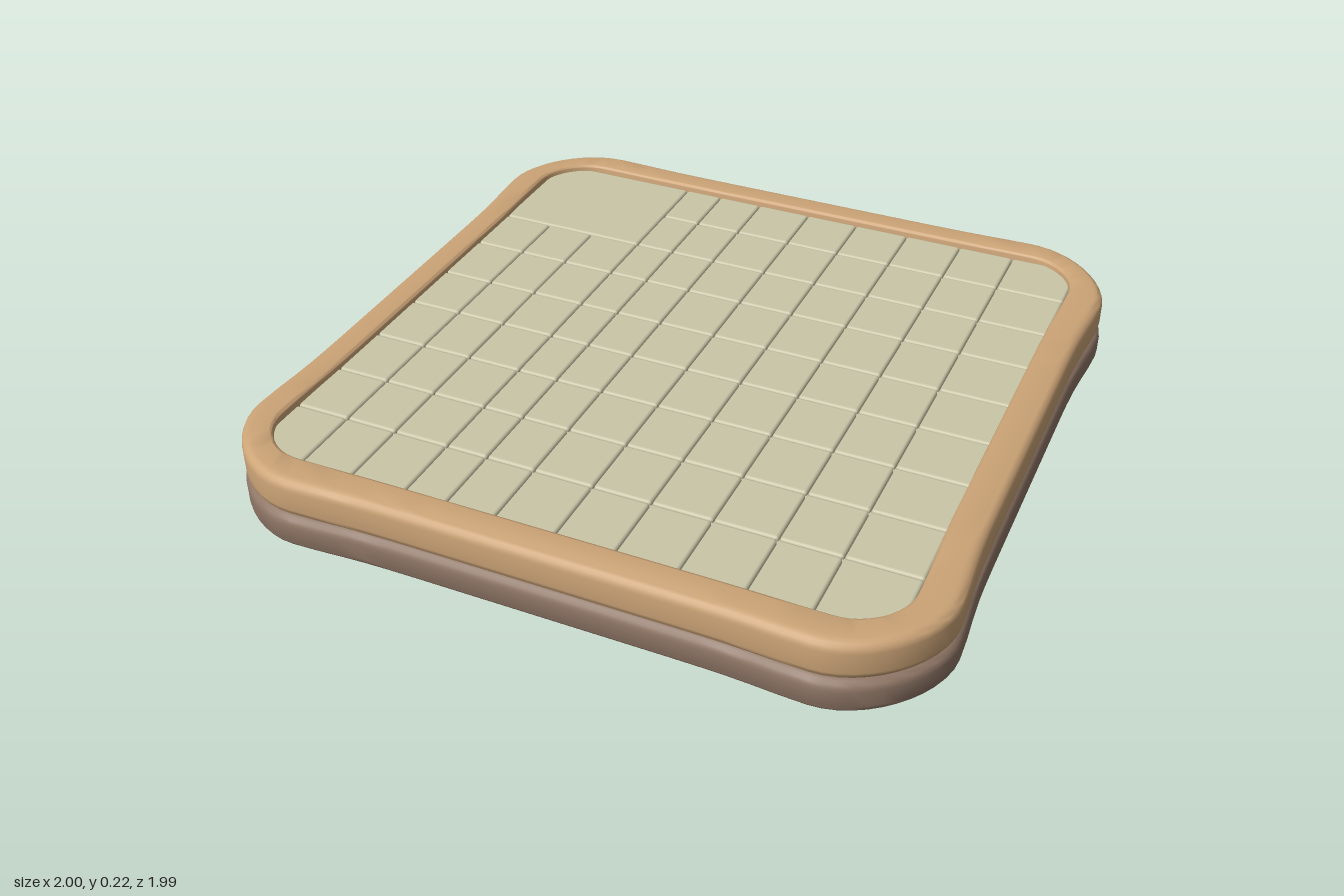
import * as THREE from 'three';
import { toCreasedNormals } from 'three/addons/utils/BufferGeometryUtils.js';
import { RoundedBoxGeometry } from 'three/addons/geometries/RoundedBoxGeometry.js';

const material = (name, color) => {
  const m = new THREE.MeshStandardMaterial({ color });
  m.name = name;
  return m;
};

// Rounded square outline with sides that swell slightly near the corners
function outline(half, radius, bulgeX, bulgeZ, dx = 0, dz = 0) {
  const c = half - radius, quarter = [], points = [];
  for (let i = 0; i <= 12; i++) {
    const a = (i / 12) * Math.PI / 2;
    quarter.push([c + radius * Math.cos(a), c + radius * Math.sin(a)]);
  }
  for (let i = 1; i < 20; i++) quarter.push([c - 2 * c * i / 20, half]);
  const swell = (v) => Math.exp(-(((Math.abs(v) - 0.72) / 0.16) ** 2));
  for (let k = 0; k < 4; k++) {
    for (const q of quarter) {
      let [x, z] = q;
      for (let n = 0; n < k; n++) [x, z] = [-z, x];
      points.push([x * (1 + bulgeX * swell(z)) + dx, z * (1 + bulgeZ * swell(x)) + dz]);
    }
  }
  return points;
}

// Closed frame between two outlines; its cross-section has rounded corners
function frame(inner, outer, y0, y1, rIn, rOut) {
  const width = 0.095, section = [];
  const arc = (u, y, r, start) => {
    for (let i = 0; i <= 5; i++) {
      const a = start - (i / 5) * Math.PI / 2;
      section.push([(u + r * Math.cos(a)) / width, y + r * Math.sin(a)]);
    }
  };
  arc(rIn, y1 - rIn, rIn, Math.PI);
  arc(width - rOut, y1 - rOut, rOut, Math.PI / 2);
  arc(width - rOut, y0 + rOut, rOut, 0);
  arc(rIn, y0 + rIn, rIn, -Math.PI / 2);
  const n = outer.length, m = section.length, pos = [], index = [];
  for (let i = 0; i < n; i++) {
    for (const [t, y] of section) {
      pos.push(inner[i][0] + (outer[i][0] - inner[i][0]) * t, y,
        inner[i][1] + (outer[i][1] - inner[i][1]) * t);
    }
  }
  for (let i = 0; i < n; i++) {
    for (let j = 0; j < m; j++) {
      const i2 = (i + 1) % n, j2 = (j + 1) % m;
      const a = i * m + j, b = i2 * m + j, c = i * m + j2, d = i2 * m + j2;
      index.push(a, b, c, b, d, c);
    }
  }
  const g = new THREE.BufferGeometry();
  g.setAttribute('position', new THREE.Float32BufferAttribute(pos, 3));
  g.setIndex(index);
  return toCreasedNormals(g, 0.7);
}

// Flat slab filling an outline
function slab(points, y0, y1) {
  const shape = new THREE.Shape(points.map(([x, z]) => new THREE.Vector2(x, -z)));
  const g = new THREE.ExtrudeGeometry(shape, { depth: y1 - y0, bevelEnabled: false });
  return g.rotateX(-Math.PI / 2).translate(0, y0, 0);
}

export function createModel() {
  const group = new THREE.Group();
  const tan = material('tan rim', 0xcca477);
  const brown = material('brown base', 0x8f7666);
  const cream = material('cream tile', 0xcac6a8);
  const add = (name, geometry, mat, parent = group) => {
    const mesh = new THREE.Mesh(geometry, mat);
    mesh.name = name;
    parent.add(mesh);
    return mesh;
  };

  const inner = outline(0.885, 0.15, 0.01, 0.004, -0.006, -0.006);
  const outer = outline(0.98, 0.27, 0.016, 0.01);
  const baseOuter = outline(0.983, 0.27, 0.018, 0.014);

  // Two stacked frames, with the underside plate inside the lower one
  add('upperRim', frame(inner, outer, 0.1, 0.215, 0.012, 0.028), tan);
  add('lowerBase', frame(inner, baseOuter, 0, 0.104, 0.006, 0.03), brown);
  add('bottomPlate', slab(inner, 0.002, 0.09), tan);
  add('tileBed', slab(inner, 0.09, 0.183), cream);

  // Cushioned tiles; their outer edges tuck into the rim
  const xs = [-0.9, -0.74, -0.59, -0.43, -0.31, -0.17, 0, 0.165, 0.335, 0.51, 0.68, 0.885];
  const zs = [-0.895, -0.7, -0.5, -0.31, -0.11, 0.08, 0.275, 0.47, 0.665, 0.88];
  const tiles = new THREE.Group();
  tiles.name = 'tiles';
  group.add(tiles);
  const addTile = (x0, x1, z0, z1) => {
    const g = new RoundedBoxGeometry(x1 - x0 - 0.002, 0.04, z1 - z0 - 0.002, 2, 0.009);
    add('tile', g, cream, tiles).position.set((x0 + x1) / 2, 0.176, (z0 + z1) / 2);
  };
  for (let i = 0; i < xs.length - 1; i++) {
    for (let j = 0; j < zs.length - 1; j++) {
      if (i < 3 && j < 2) continue;
      addTile(xs[i], xs[i + 1], zs[j], zs[j + 1]);
    }
  }
  // One large undivided tile in the back corner
  addTile(xs[0], xs[3], zs[0], zs[2]);
  return group;
}
